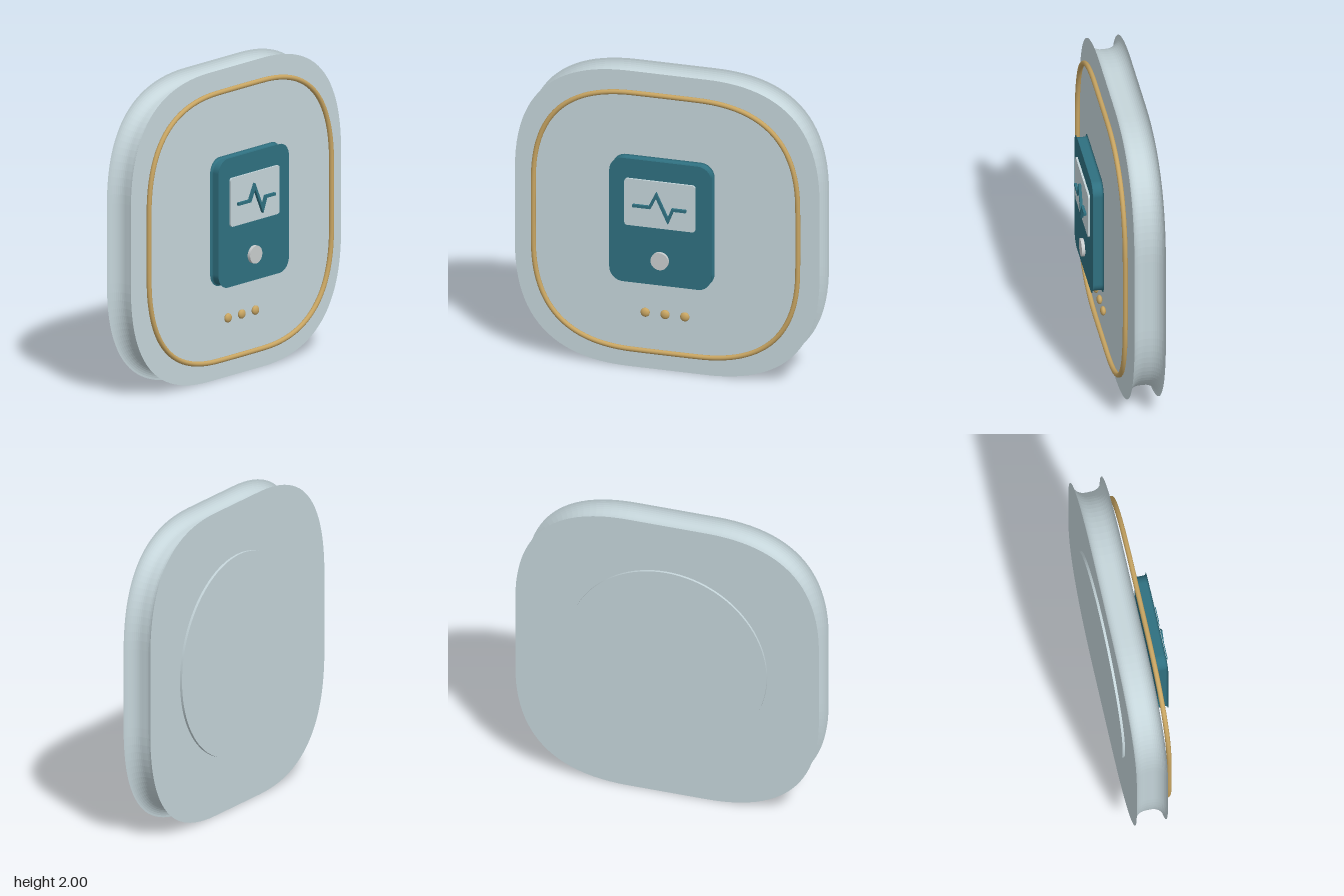
import * as THREE from 'three';

const material = (name, color) => {
  const m = new THREE.MeshStandardMaterial({ color });
  m.name = name;
  return m;
};

// Square outline of half-size h whose corners are soft curves starting at the half-length f
function softSquare(h, f) {
  const s = new THREE.Shape();
  s.moveTo(-f, -h);
  s.lineTo(f, -h);
  s.quadraticCurveTo(h, -h, h, -f);
  s.lineTo(h, f);
  s.quadraticCurveTo(h, h, f, h);
  s.lineTo(-f, h);
  s.quadraticCurveTo(-h, h, -h, f);
  s.lineTo(-h, -f);
  s.quadraticCurveTo(-h, -h, -f, -h);
  return s;
}

function roundedRect(w, h, r) {
  const x = w / 2, y = h / 2, s = new THREE.Shape();
  s.absarc(x - r, y - r, r, 0, Math.PI / 2);
  s.absarc(-x + r, y - r, r, Math.PI / 2, Math.PI);
  s.absarc(-x + r, -y + r, r, Math.PI, Math.PI * 1.5);
  s.absarc(x - r, -y + r, r, Math.PI * 1.5, Math.PI * 2);
  s.closePath();
  return s;
}

// Plate from z0 to z1; a groove scoops the rim inwards with a rounded U section
function plate(shape, z0, z1, groove = 0, grooveZ = groove) {
  const g = new THREE.ExtrudeGeometry(shape, {
    depth: z1 - z0 - 2 * grooveZ,
    curveSegments: 24,
    bevelEnabled: groove > 0,
    bevelSize: -groove,
    bevelThickness: grooveZ,
    bevelSegments: 10,
  });
  return g.translate(0, 0, z0 + grooveZ);
}

// Constant-width ribbon outline around a polyline, with mitred joints
function ribbon(points, width) {
  const p = points.map(([x, y]) => new THREE.Vector2(x, y));
  const normal = (a, b) => {
    const d = b.clone().sub(a).normalize();
    return new THREE.Vector2(-d.y, d.x);
  };
  const upper = [], lower = [];
  p.forEach((q, i) => {
    const n0 = normal(p[Math.max(i - 1, 0)], p[Math.max(i, 1)]);
    const n1 = i < p.length - 1 ? normal(q, p[i + 1]) : n0;
    const m = n0.clone().add(n1).normalize();
    const k = width / 2 / m.dot(n1);
    upper.push(q.clone().addScaledVector(m, k));
    lower.push(q.clone().addScaledVector(m, -k));
  });
  return new THREE.Shape([...lower, ...upper.reverse()]);
}

export function createModel() {
  const pale = material('pale blue grey', 0xc5d5da);
  const teal = material('teal', 0x2f7080);
  const gold = material('gold', 0xc8a562);
  const silver = material('silver', 0xc8cccd);

  const model = new THREE.Group();
  model.name = 'wallMonitor';
  const add = (name, geometry, mat, x = 0, y = 0, z = 0) => {
    const mesh = new THREE.Mesh(geometry, mat);
    mesh.name = name;
    mesh.position.set(x, y, z);
    model.add(mesh);
    return mesh;
  };

  // Body slab with a grooved rim, and the round pad on its back
  add('body', plate(softSquare(1, 0.26), -0.18, 0.02, 0.08), pale, 0, 1);
  add('backPad', new THREE.CylinderGeometry(0.66, 0.66, 0.02, 96).rotateX(Math.PI / 2), pale, 0, 1, -0.186);

  // Gold trim ring following the body outline
  const outline = softSquare(0.868, 0.21).getPoints(20).map((p) => new THREE.Vector3(p.x, p.y, 0));
  outline.pop();
  const path = new THREE.CatmullRomCurve3(outline, true, 'centripetal');
  add('trimRing', new THREE.TubeGeometry(path, 240, 0.016, 12, true), gold, 0, 1, 0.056);

  // Instrument panel with its screen, pulse trace and button
  add('panel', plate(roundedRect(0.67, 0.835, 0.09), 0.098, 0.168, 0.015, 0.015), teal, 0, 1.05);
  add('screen', plate(roundedRect(0.465, 0.315, 0.02), 0.165, 0.181), pale, 0, 1.18);
  const pulse = [[-0.175, 1.163], [-0.063, 1.163], [-0.02, 1.25], [0.057, 1.085], [0.088, 1.163], [0.175, 1.163]];
  add('pulseTrace', plate(ribbon(pulse, 0.018), 0.18, 0.199), teal);
  add('button', new THREE.CylinderGeometry(0.058, 0.058, 0.024, 32).rotateX(Math.PI / 2), silver, 0, 0.802, 0.177);

  // Three indicator beads
  for (const x of [-0.13, 0, 0.13]) {
    add('indicatorBead', new THREE.SphereGeometry(0.03, 24, 16), gold, x, 0.397, 0.068).scale.z = 0.6;
  }
  return model;
}
